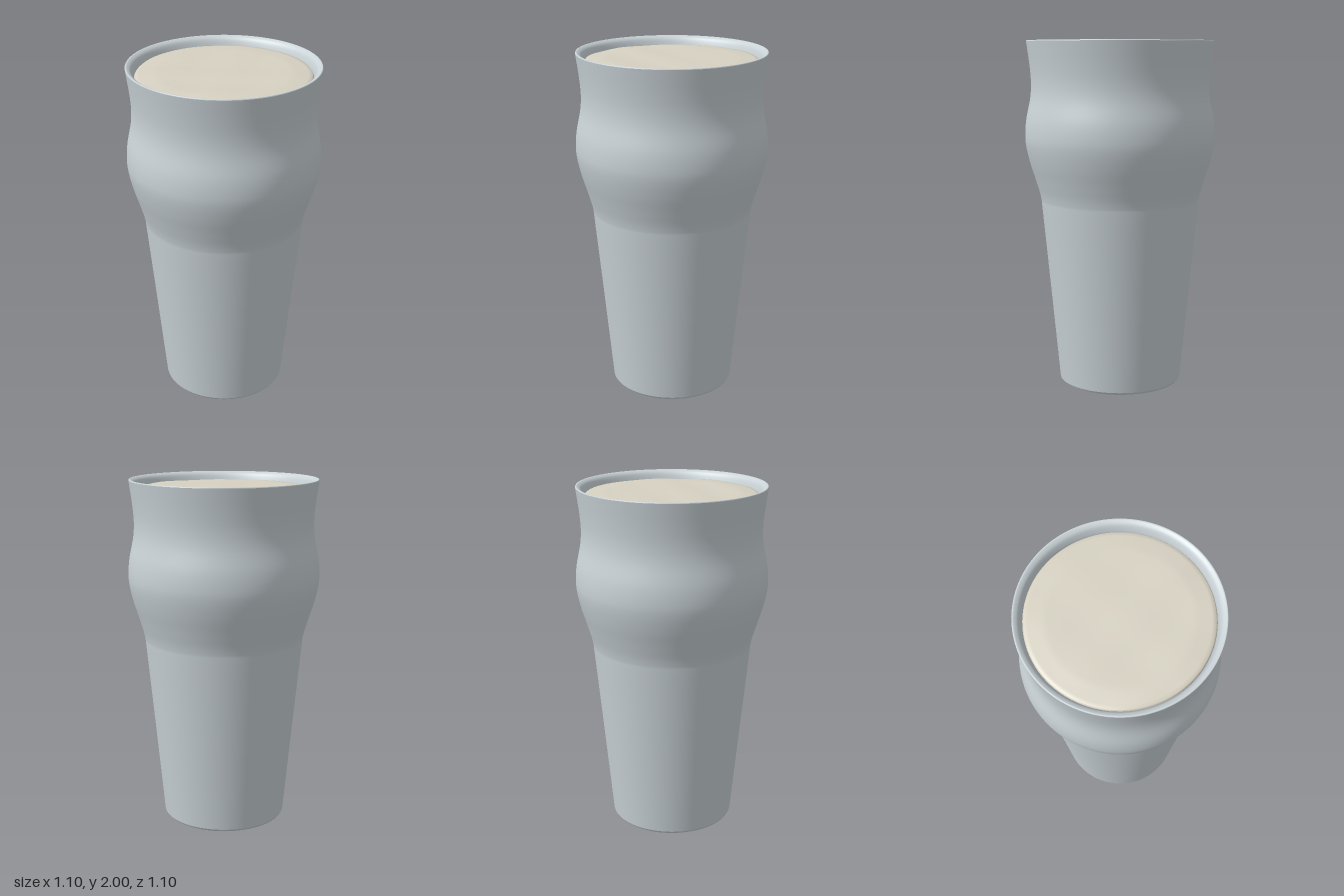
import * as THREE from 'three';
import { mergeVertices } from 'three/addons/utils/BufferGeometryUtils.js';

const SEGMENTS = 96;
const points = (list) => list.map(([r, y]) => new THREE.Vector2(r, y));

export function createModel() {
  const group = new THREE.Group();
  const glass = new THREE.MeshStandardMaterial({ color: 0xc9d2d6 });
  glass.name = 'pale glass';
  const cream = new THREE.MeshStandardMaterial({ color: 0xd6d1c2 });
  cream.name = 'cream foam';

  const add = (name, geometry, material) => {
    const mesh = new THREE.Mesh(geometry, material);
    mesh.name = name;
    group.add(mesh);
    return mesh;
  };

  // Outer wall: straight taper, bulge under the lip, flared mouth
  const wall = new THREE.SplineCurve(points([
    [0.359, 0.012], [0.405, 0.5], [0.453, 1.0], [0.464, 1.1], [0.492, 1.2], [0.523, 1.3],
    [0.544, 1.39], [0.55, 1.46], [0.543, 1.55], [0.519, 1.67], [0.513, 1.76], [0.52, 1.86],
    [0.538, 1.995],
  ])).getPoints(72);
  add('outerWall', new THREE.LatheGeometry(wall, SEGMENTS), glass);

  // Rounded rim and inner wall, running down past the foam
  const lip = new THREE.SplineCurve(points([
    [0.538, 1.995], [0.535, 2.0], [0.525, 1.998], [0.508, 1.985], [0.496, 1.96],
    [0.489, 1.93], [0.482, 1.85],
  ])).getPoints(30);
  add('rim', new THREE.LatheGeometry(lip, SEGMENTS), glass);

  // Foot: small bevel and flat underside
  add('footBevel', new THREE.LatheGeometry(points([[0.352, 0], [0.359, 0.012]]), SEGMENTS), glass);
  const base = add('base', new THREE.CircleGeometry(0.352, SEGMENTS), glass);
  base.rotation.x = Math.PI / 2;

  // Foam head: shallow disc with soft uneven ripples
  const profile = points([[0.49, 1.92], [0.489, 1.94], [0.482, 1.952]]);
  for (let i = 1; i <= 24; i++) {
    profile.push(new THREE.Vector2(0.482 * (1 - i / 24), 1.952 + 0.008 * Math.min(1, i / 5)));
  }
  let foam = new THREE.LatheGeometry(profile, SEGMENTS);
  foam.deleteAttribute('uv');
  foam.deleteAttribute('normal');
  foam = mergeVertices(foam, 1e-5);
  const pos = foam.attributes.position;
  for (let i = 0; i < pos.count; i++) {
    const x = pos.getX(i), z = pos.getZ(i), y = pos.getY(i);
    if (y < 1.945) continue;
    const ripple = Math.sin(13 * x + 4 * z + 1) * Math.cos(11 * z - 5 * x) + 0.5 * Math.sin(21 * z + 9 * x);
    pos.setY(i, y + 0.0018 * ripple);
  }
  foam.computeVertexNormals();
  add('foam', foam, cream);

  return group;
}
